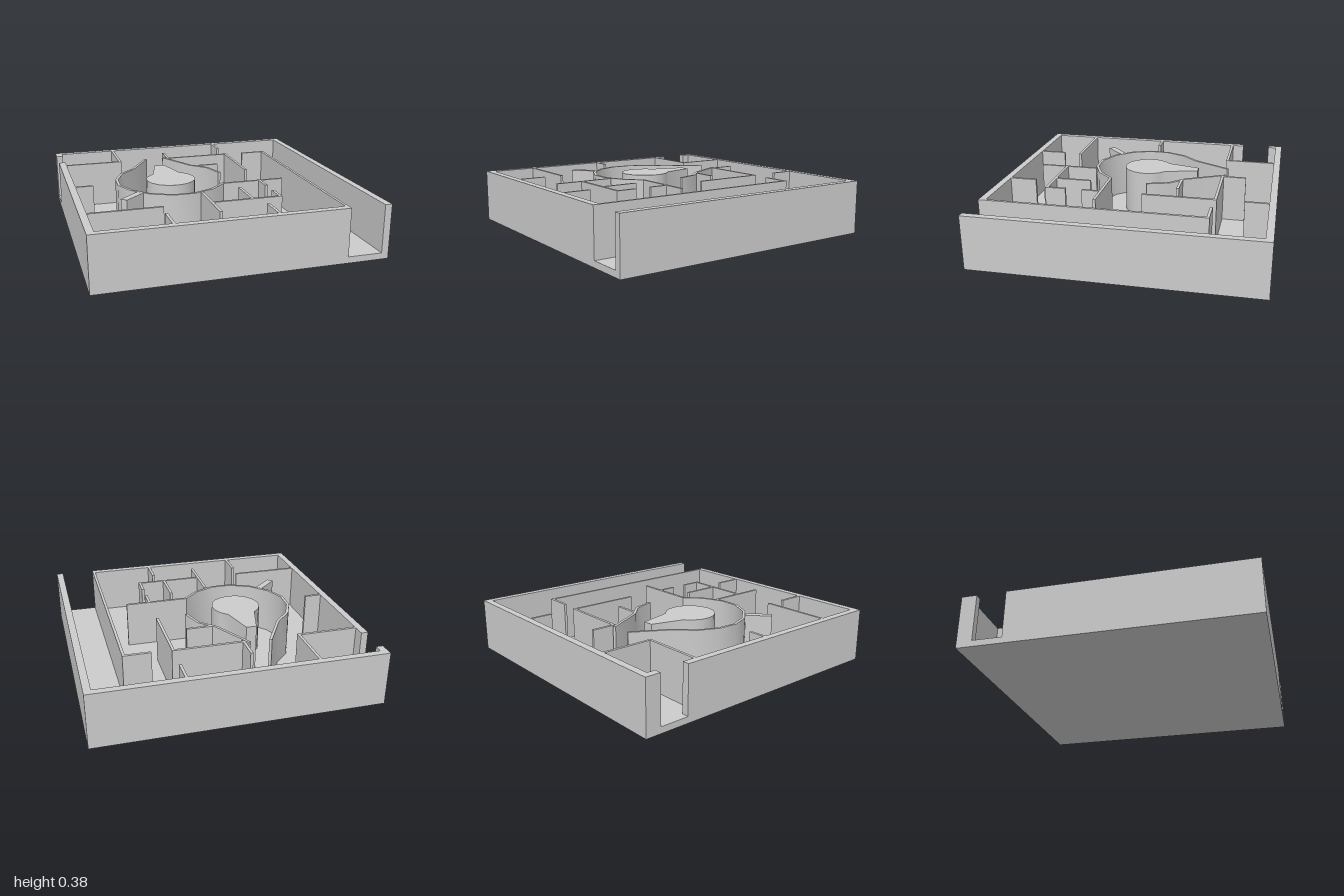
import * as THREE from 'three';
import { toCreasedNormals } from 'three/addons/utils/BufferGeometryUtils.js';

const HEIGHT = 0.385, FLOOR = 0.045, T = 0.02;

export function createModel() {
  const model = new THREE.Group();
  const material = new THREE.MeshStandardMaterial({ color: 0xcccccc });

  function add(name, geometry) {
    const mesh = new THREE.Mesh(geometry, material);
    mesh.name = name;
    model.add(mesh);
  }

  // Upright block from plan limits
  function block(name, x0, x1, z0, z1, y0 = FLOOR, y1 = HEIGHT) {
    const g = new THREE.BoxGeometry(x1 - x0, y1 - y0, z1 - z0);
    g.translate((x0 + x1) / 2, (y0 + y1) / 2, (z0 + z1) / 2);
    add(name, g);
  }

  // Upright prism from a plan outline of [x, z] corners
  function prism(name, outline) {
    const shape = new THREE.Shape(outline.map(([x, z]) => new THREE.Vector2(x, -z)));
    const g = new THREE.ExtrudeGeometry(shape, { depth: HEIGHT - FLOOR, bevelEnabled: false });
    g.rotateX(-Math.PI / 2);
    g.translate(0, FLOOR, 0);
    add(name, toCreasedNormals(g, 0.6));
  }

  // Wall of even thickness along a bent path, with mitred corners
  function bentWall(name, path, width) {
    const pts = path.map(([x, z]) => new THREE.Vector2(x, z));
    const left = [], right = [];
    pts.forEach((p, i) => {
      const a = p.clone().sub(pts[Math.max(i - 1, 0)]).normalize();
      const b = pts[Math.min(i + 1, pts.length - 1)].clone().sub(p).normalize();
      const dir = a.clone().add(b).normalize();
      const normal = new THREE.Vector2(-dir.y, dir.x);
      const ref = i === 0 ? b : a;
      const miter = width / 2 / dir.dot(ref);
      left.push([p.x + normal.x * miter, p.y + normal.y * miter]);
      right.unshift([p.x - normal.x * miter, p.y - normal.y * miter]);
    });
    prism(name, left.concat(right));
  }

  // Base and outer walls, with a doorway at the front and one at the side
  block('floor', -1, 1, -1, 1, 0, FLOOR);
  block('backWall', -1, 1, -1, -0.95);
  block('leftWall', 0.95, 1, -0.95, 1);
  block('frontWall', -1, 0.705, 0.95, 1);
  block('rightWall', -1, -0.95, -0.68, 0.95);
  block('rightWallCorner', -1, -0.95, -0.95, -0.89);

  // Partitions running along x: start x, end x, centre z
  const across = [
    [-0.95, -0.515, -0.585], [-0.13, 0.375, -0.585], [0.51, 0.705, -0.575],
    [0.015, 0.205, -0.297], [-0.95, -0.825, 0.025], [-0.95, -0.45, 0.62],
    [-0.125, 0.375, 0.625],
  ];
  for (const [x0, x1, z] of across) block('crossPartition', x0, x1, z - T / 2, z + T / 2);

  // Partitions running along z: centre x, start z, end z
  const along = [
    [-0.525, -0.95, -0.575], [0.365, -0.95, -0.785], [0.365, -0.595, -0.07],
    [-0.125, -0.76, -0.585], [0.695, -0.585, 0.96], [-0.465, 0.755, 0.95],
    [0.225, 0.755, 0.95], [-0.122, 0.39, 0.825], [0.365, 0.485, 0.635],
    [0.365, 0.23, 0.365], [0.165, 0.355, 0.62],
  ];
  for (const [x, z0, z1] of along) block('lengthPartition', x - T / 2, x + T / 2, z0, z1);

  // Curved room around the island
  bentWall('curvedWall', [
    [-0.31, -0.607], [-0.463, -0.34], [-0.575, -0.227], [-0.637, -0.086],
    [-0.645, 0.062], [-0.586, 0.206], [-0.476, 0.324], [-0.324, 0.396],
    [-0.177, 0.396], [-0.032, 0.334], [0.08, 0.227], [0.54, 0.227],
  ], T);
  bentWall('entranceWall', [[-0.16, -0.607], [-0.01, -0.32], [0.096, -0.216], [0.146, -0.057]], T);
  bentWall('diagonalStub', [[-0.535, 0.278], [-0.674, 0.406]], 0.05);

  // Island: round body with a tapering neck
  const island = [[-0.285, -0.385], [-0.21, -0.385]];
  const start = -0.98, sweep = Math.PI - 2 * start, steps = 14;
  for (let i = 0; i <= steps; i++) {
    const a = start + (sweep * i) / steps;
    island.push([-0.25 + 0.18 * Math.cos(a), 0.003 + 0.18 * Math.sin(a)]);
  }
  prism('island', island);

  return model;
}
